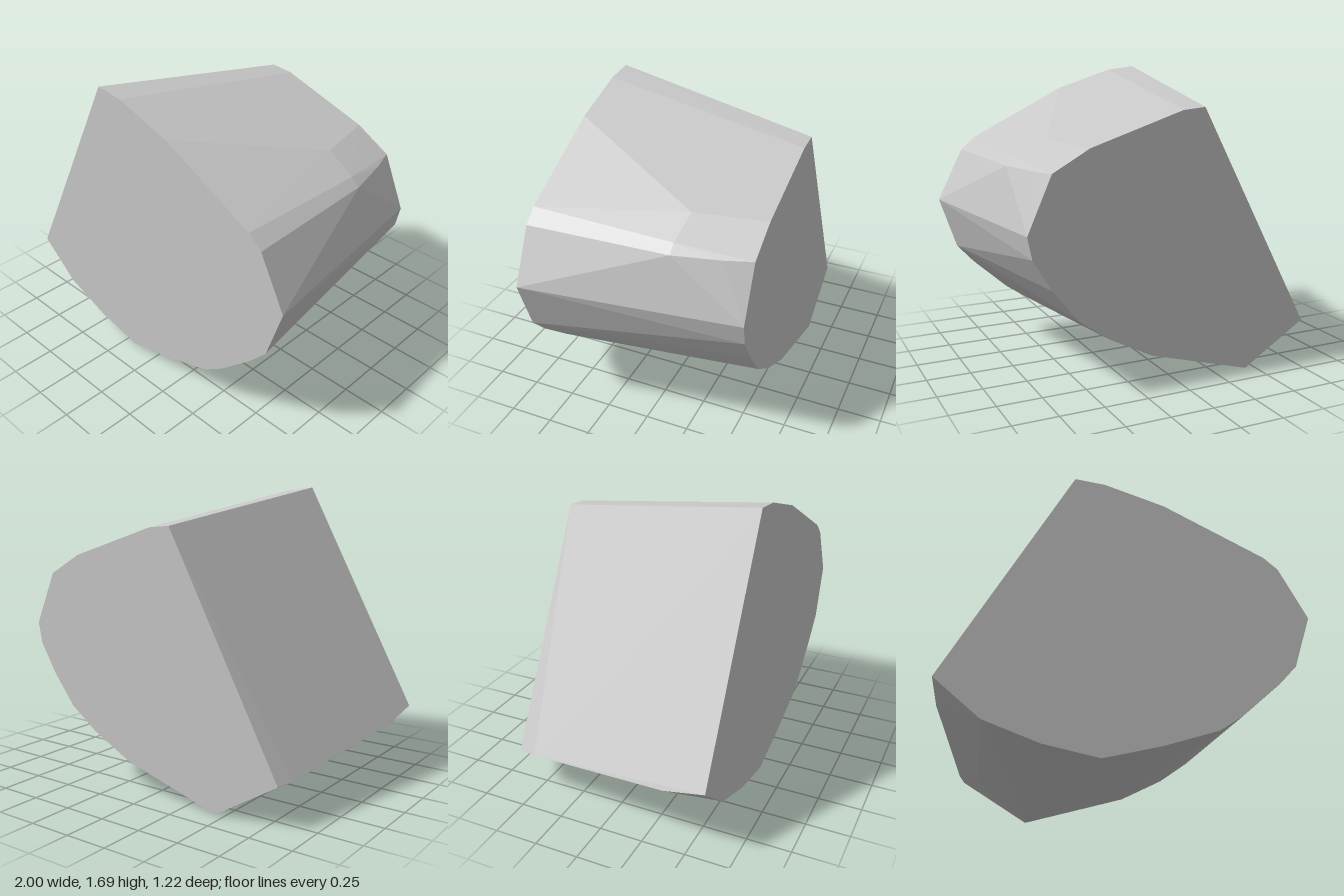
import * as THREE from 'three';
import { ConvexGeometry } from 'three/addons/geometries/ConvexGeometry.js';

export function createModel() {
  const group = new THREE.Group();
  group.name = 'cutStone';
  const stone = new THREE.MeshStandardMaterial({ color: 0xc8c8c8 });
  stone.name = 'stone grey';

  // Outlines of the flat front and back ends (x, y)
  const halfDepth = 0.61;
  const front = [
    [-1, 0.41], [-0.31, 1.69], [-0.14, 1.67], [0.2, 1.56], [0.77, 1.27],
    [0.85, 1.2], [1, 0.9], [0.9, 0.6], [0.8, 0.49], [0.59, 0.3], [0.46, 0.21],
    [0.16, 0.11], [-0.15, 0.03], [-0.45, 0.09], [-0.75, 0.2],
  ];
  const back = [
    [-0.15, 1.505], [-0.02, 1.493], [0.51, 1.32], [0.715, 1.204], [0.85, 0.9],
    [0.826, 0.78], [0.724, 0.61], [0.582, 0.43], [0.41, 0.305],
    [0.157, 0.174], [-0.445, 0], [-0.83, 0.235],
  ];
  // Chipped corners between the two ends (x, y, z)
  const chips = [
    [0.6, 1.335, -0.22], [0.77, 1.245, -0.2], [0.82, 1.2, -0.2], [0.76, 1.2, -0.46],
    [-0.981, 0.35, 0.37], [-0.856, 0.24, -0.5], [-0.75, 0.16, -0.3],
  ];

  const points = [
    ...front.map(([x, y]) => new THREE.Vector3(x, y, halfDepth)),
    ...back.map(([x, y]) => new THREE.Vector3(x, y, -halfDepth)),
    ...chips.map((p) => new THREE.Vector3(...p)),
  ];
  const block = new THREE.Mesh(new ConvexGeometry(points), stone);
  block.name = 'stoneBlock';
  group.add(block);
  return group;
}
